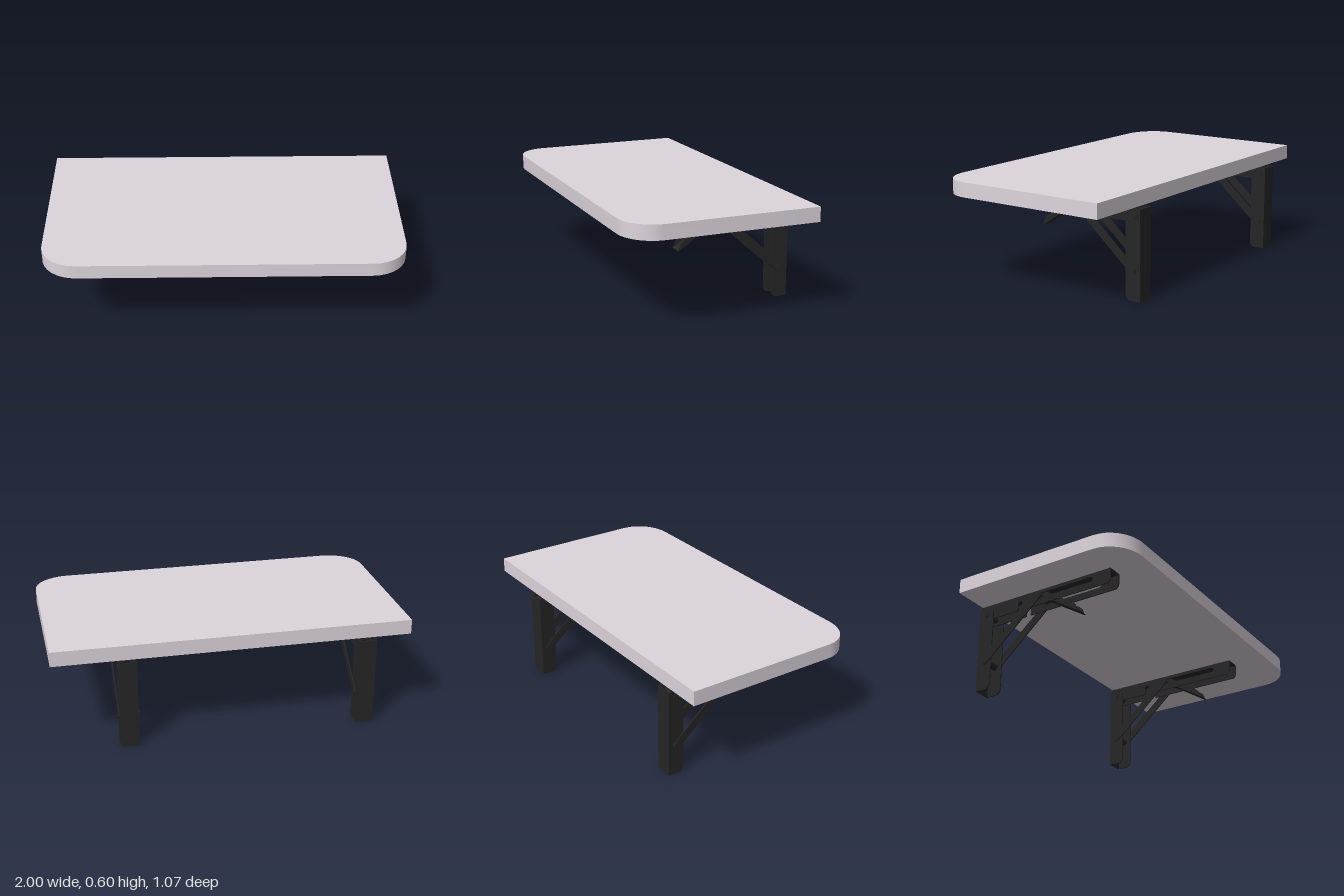
import * as THREE from 'three';
import { toCreasedNormals } from 'three/addons/utils/BufferGeometryUtils.js';

const steel = new THREE.MeshStandardMaterial({ color: 0x262626 });
const board = new THREE.MeshStandardMaterial({ color: 0xddd5dd });
const T = 0.006; // sheet thickness

function add(parent, name, geometry, material = steel) {
  const mesh = new THREE.Mesh(geometry, material);
  mesh.name = name;
  parent.add(mesh);
  return mesh;
}

// Side profile drawn in (z, y), extruded across x and centred at x
function sidePlate(shape, x, width = T) {
  const g = new THREE.ExtrudeGeometry(shape, { depth: width, bevelEnabled: false, curveSegments: 8 });
  g.rotateY(-Math.PI / 2).translate(x + width / 2, 0, 0);
  return toCreasedNormals(g, 0.6);
}

function box(w, h, d, x, y, z) {
  return new THREE.BoxGeometry(w, h, d).translate(x, y, z);
}

// Straight bar with round ends between two (z, y) points
function capsule(a, b, r, Type = THREE.Shape) {
  const t = Math.atan2(b[1] - a[1], b[0] - a[0]);
  const s = new Type();
  s.absarc(b[0], b[1], r, t - Math.PI / 2, t + Math.PI / 2, false);
  s.absarc(a[0], a[1], r, t + Math.PI / 2, t + Math.PI * 1.5, false);
  s.closePath();
  return s;
}

function pin(parent, name, z, y, r, length) {
  const g = new THREE.CylinderGeometry(r, r, length, 20).rotateZ(Math.PI / 2);
  add(parent, name, g.translate(0, y, z));
}

function wallFlange() {
  const s = new THREE.Shape(), r = 0.033;
  s.moveTo(-0.537, 0);
  s.lineTo(-0.445 - r, 0);
  s.absarc(-0.445 - r, r, r, -Math.PI / 2, 0, false);
  s.absarc(-0.445 - r, 0.5 - r, r, 0, Math.PI / 2, false);
  s.lineTo(-0.537, 0.5);
  s.closePath();
  return s;
}

function armFlange() {
  const s = new THREE.Shape(), r = 0.028;
  s.moveTo(-0.52, 0.43);
  // Latch notch cut up from the lower edge
  s.lineTo(-0.279, 0.43);
  s.lineTo(-0.279, 0.47);
  s.absarc(-0.264, 0.47, 0.015, Math.PI, 0, true);
  s.lineTo(-0.249, 0.43);
  s.lineTo(0.332 - r, 0.43);
  s.absarc(0.332 - r, 0.43 + r, r, -Math.PI / 2, 0, false);
  s.lineTo(0.332, 0.517);
  s.lineTo(-0.52, 0.517);
  s.closePath();
  s.holes.push(capsule([-0.13, 0.483], [0.205, 0.483], 0.014, THREE.Path));
  return s;
}

function leverFlange() {
  const s = new THREE.Shape();
  s.moveTo(0.112, 0.33);
  s.bezierCurveTo(0.112, 0.36, 0.1, 0.376, 0.07, 0.393);
  s.lineTo(-0.085, 0.495);
  s.quadraticCurveTo(-0.11, 0.511, -0.145, 0.508);
  s.lineTo(-0.155, 0.503);
  s.closePath();
  return s;
}

function createBracket() {
  const bracket = new THREE.Group();
  bracket.name = 'foldingBracket';

  add(bracket, 'wallWeb', box(0.1, 0.5, T, 0, 0.25, -0.534));
  add(bracket, 'armWeb', box(0.086, T, 0.862, 0, 0.514, -0.099));

  for (const side of [-1, 1]) {
    add(bracket, 'wallFlange', sidePlate(wallFlange(), side * 0.047));
    add(bracket, 'armFlange', sidePlate(armFlange(), side * 0.04));
    add(bracket, 'braceStrap', sidePlate(capsule([-0.135, 0.485], [-0.49, 0.172], 0.023), side * 0.053));
    add(bracket, 'leverFlange', sidePlate(leverFlange(), side * 0.033));
  }

  // Sloping underside of the release lever, ending in a thin lip
  const web = new THREE.Shape([[0.12, 0.325], [0.122, 0.331], [-0.152, 0.506], [-0.155, 0.5]]
    .map(([z, y]) => new THREE.Vector2(z, y)).reverse());
  add(bracket, 'leverWeb', sidePlate(web, 0, 0.072));

  pin(bracket, 'braceTopPin', -0.135, 0.485, 0.019, 0.118);
  pin(bracket, 'braceBottomPin', -0.49, 0.172, 0.019, 0.118);
  pin(bracket, 'hingePin', -0.495, 0.463, 0.018, 0.108);
  pin(bracket, 'leverPin', -0.024, 0.445, 0.012, 0.092);
  return bracket;
}

function createTabletop() {
  // Square back corners, elliptical front corners
  const s = new THREE.Shape(), rx = 0.2, rz = 0.18, front = 0.537;
  s.moveTo(-1, -0.527);
  s.lineTo(1, -0.527);
  s.absellipse(1 - rx, front - rz, rx, rz, 0, Math.PI / 2, false, 0);
  s.absellipse(-1 + rx, front - rz, rx, rz, Math.PI / 2, Math.PI, false, 0);
  s.closePath();
  const g = new THREE.ExtrudeGeometry(s, { depth: 0.083, bevelEnabled: false, curveSegments: 4 });
  g.rotateX(Math.PI / 2).translate(0, 0.6, 0);
  return toCreasedNormals(g, 0.6);
}

export function createModel() {
  const model = new THREE.Group();
  model.name = 'foldingShelf';
  add(model, 'tabletop', createTabletop(), board);
  for (const x of [-0.75, 0.59]) {
    const bracket = createBracket();
    bracket.position.x = x;
    model.add(bracket);
  }
  return model;
}
